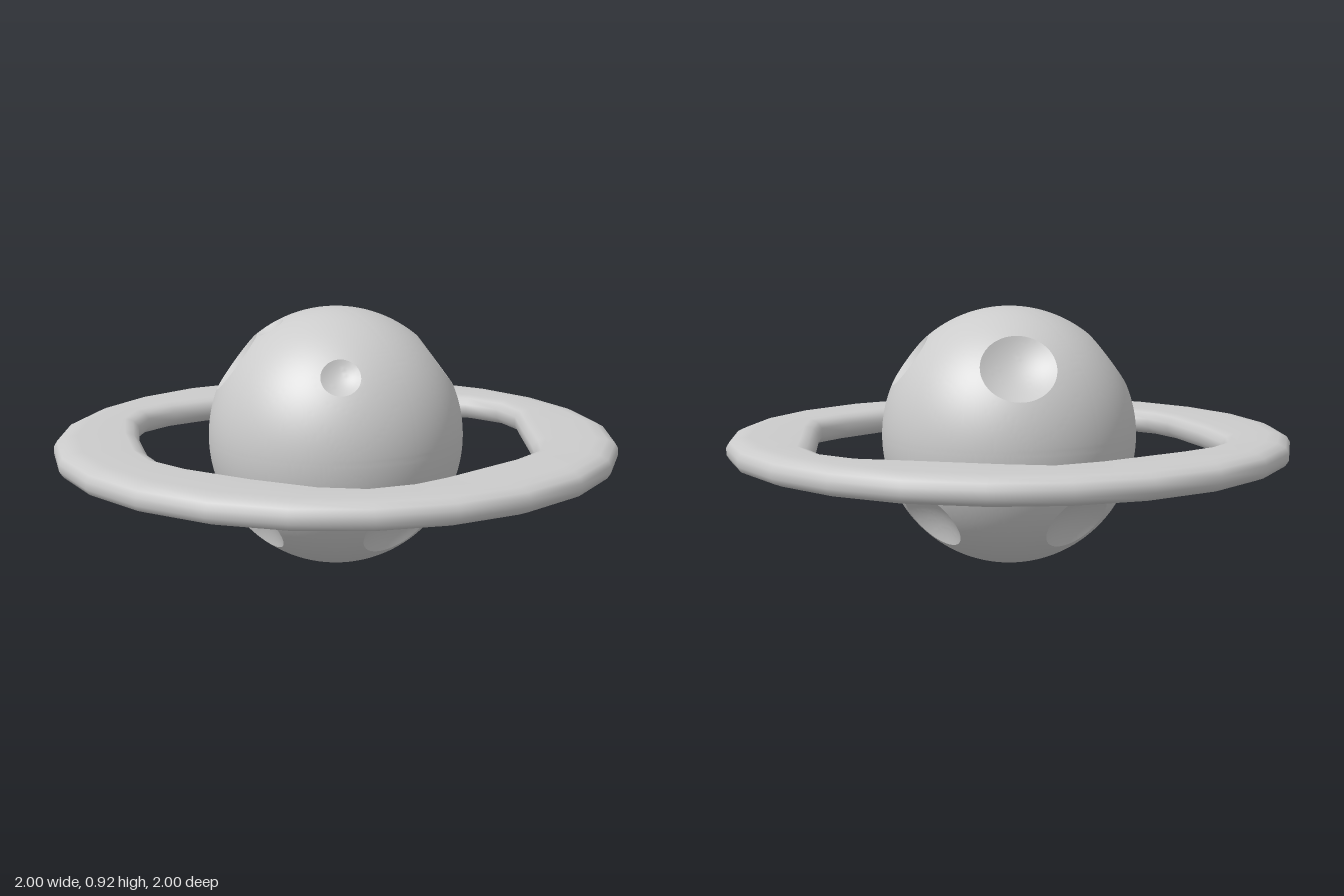
import * as THREE from 'three';
import { mergeVertices, toCreasedNormals } from 'three/addons/utils/BufferGeometryUtils.js';

const material = new THREE.MeshStandardMaterial({ color: 0xcccccc });
const R = 0.455;

// Crater centres relative to the globe's middle, and rim radius
const CRATERS = [
  [-0.21, 0.275, 0.30, 0.12], [-0.107, 0.395, 0.21, 0.05],
  [0.295, 0.27, 0.20, 0.068], [0.20, 0.27, -0.30, 0.105],
  [-0.29, 0.28, -0.21, 0.13],
  [0, -0.27, 0.37, 0.132], [0.37, -0.27, 0, 0.132],
  [0, -0.27, -0.37, 0.125], [-0.37, -0.27, 0, 0.125],
  [-0.04, -0.39, 0.22, 0.05],
].map(([x, y, z, r]) => ({ axis: new THREE.Vector3(x, y, z).normalize(), r, angle: Math.asin(r / R) }));

// Globe: a fine sphere with sharp-rimmed bowls pressed into it
function globeGeometry() {
  let g = new THREE.IcosahedronGeometry(R, 50);
  g.deleteAttribute('uv');
  g.deleteAttribute('normal');
  g = mergeVertices(g, 1e-5);
  const pos = g.attributes.position;
  const p = new THREE.Vector3(), side = new THREE.Vector3();
  const snap = 0.012;
  for (let i = 0; i < pos.count; i++) {
    p.fromBufferAttribute(pos, i);
    for (const { axis, r, angle } of CRATERS) {
      let a = p.angleTo(axis);
      if (a > angle + snap) continue;
      // vertices close to the rim slide onto it, so the edge stays round
      if (a > angle - snap) a = angle;
      side.copy(p).addScaledVector(axis, -p.dot(axis)).normalize();
      const t = a / angle;
      const height = R * Math.cos(angle) - 0.28 * r * (1 - t * t);
      p.copy(axis).multiplyScalar(height).addScaledVector(side, r * t);
      break;
    }
    pos.setXYZ(i, p.x, p.y, p.z);
  }
  return toCreasedNormals(g, 0.4);
}

// Inner edge of the ring on the +x half, from back to front (x, z)
const INNER = [
  [0, -0.785], [0.14, -0.75], [0.26, -0.66], [0.52, -0.47], [0.63, -0.38],
  [0.67, -0.235], [0.71, 0.11], [0.71, 0.245], [0.67, 0.385], [0.58, 0.48],
  [0.38, 0.59], [0.13, 0.695], [0, 0.72],
];

// Ring: a flat rounded section lofted between the inner and outer outlines
function ringGeometry() {
  const h = 0.0475, sides = 24;
  const rim = [[0.08, h], [0.04, 0.043], [0.012, 0.03], [0, 0.01], [0, -0.015], [0.012, -0.034], [0.04, -0.045], [0.08, -h]];
  const lip = [[0.05, -h], [0.02, -0.038], [0, -0.016], [0, 0.016], [0.02, 0.038], [0.05, h]];
  const n = rim.length + lip.length;
  const verts = [], index = [];
  for (let k = 0; k < sides; k++) {
    const t = (k / sides) * Math.PI * 2;
    const [ix, iz] = INNER[k <= 12 ? k : sides - k];
    const inner = new THREE.Vector2(k <= 12 ? ix : -ix, iz);
    const outer = new THREE.Vector2(Math.sin(t), -Math.cos(t));
    const dir = outer.clone().sub(inner).normalize();
    for (const [d, y] of rim) verts.push(outer.x - dir.x * d, y, outer.y - dir.y * d);
    for (const [d, y] of lip) verts.push(inner.x + dir.x * d, y, inner.y + dir.y * d);
    const next = (k + 1) % sides;
    for (let s = 0; s < n; s++) {
      const s2 = (s + 1) % n;
      const a = k * n + s, b = next * n + s, c = next * n + s2, e = k * n + s2;
      index.push(a, b, e, b, c, e);
    }
  }
  const g = new THREE.BufferGeometry();
  g.setAttribute('position', new THREE.Float32BufferAttribute(verts, 3));
  g.setIndex(index);
  g.computeVertexNormals();
  return g;
}

export function createModel() {
  const model = new THREE.Group();
  model.name = 'ringedPlanet';

  const globe = new THREE.Mesh(globeGeometry(), material);
  globe.name = 'crateredGlobe';
  globe.scale.y = 1.012;
  globe.position.y = R * 1.012;
  model.add(globe);

  const ring = new THREE.Mesh(ringGeometry(), material);
  ring.name = 'ring';
  ring.position.y = 0.4325;
  model.add(ring);

  return model;
}
